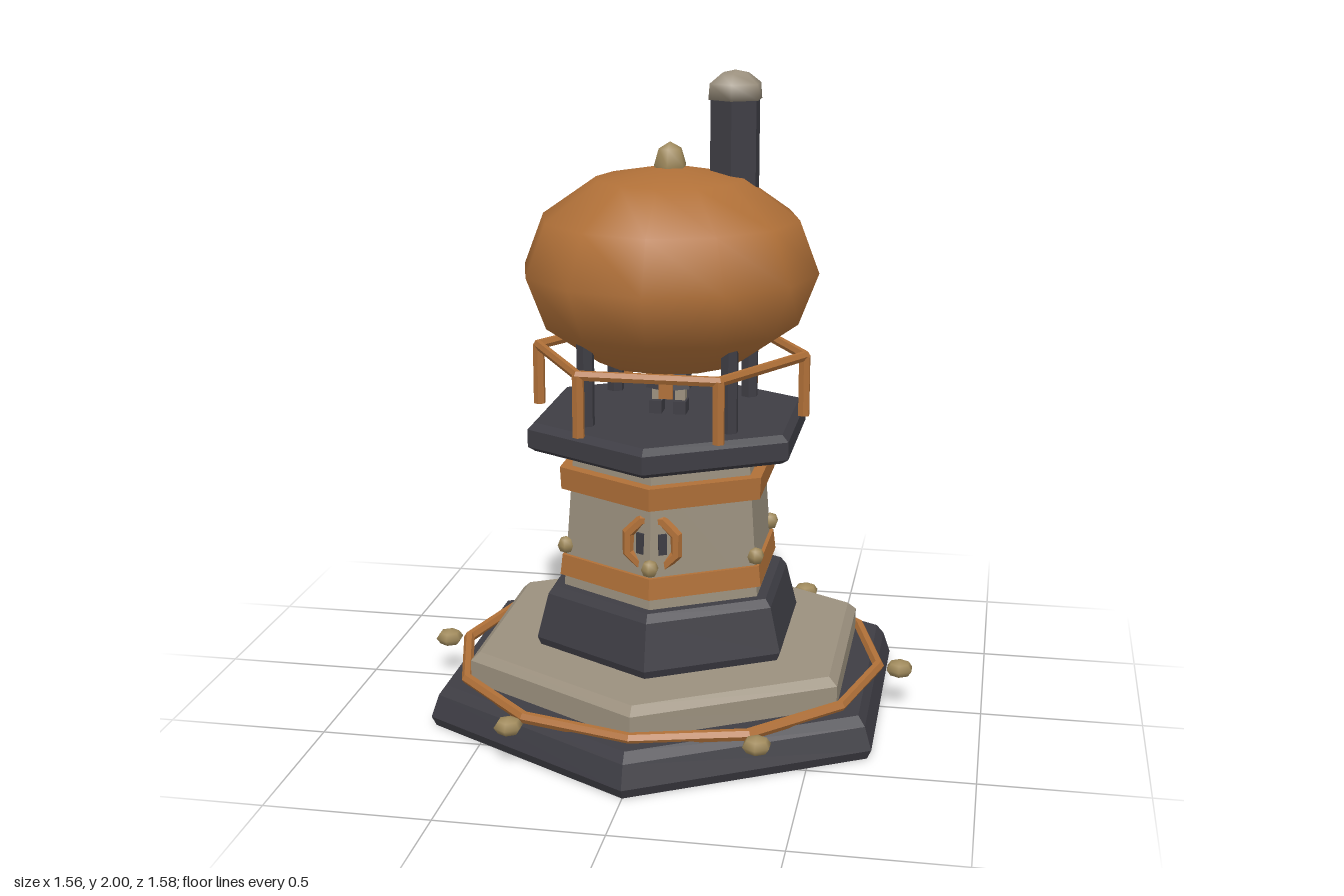
import * as THREE from 'three';

const mat = (name, color) => {
  const m = new THREE.MeshStandardMaterial({ color });
  m.name = name;
  return m;
};

export function createModel() {
  const iron = mat('dark iron', 0x3e3d44);
  const copper = mat('copper', 0xb07038);
  const stone = mat('warm stone', 0x9b907e);
  const brass = mat('brass', 0xa08a5c);
  const model = new THREE.Group();

  const add = (name, geo, material, x = 0, y = 0, z = 0, parent = model) => {
    const mesh = new THREE.Mesh(geo, material);
    mesh.name = name;
    mesh.position.set(x, y, z);
    parent.add(mesh);
    return mesh;
  };
  // Faceted copy of a geometry
  const flat = (geo) => {
    const g = geo.index ? geo.toNonIndexed() : geo;
    g.computeVertexNormals();
    return g;
  };
  // Six-sided turned solid from [radius, height] pairs, corners towards +z and -z
  const hex = (pts) => flat(new THREE.LatheGeometry(pts.map(([r, y]) => new THREE.Vector2(r, y)), 6));
  const ring = (r, tube, sides) => flat(new THREE.TorusGeometry(r, tube, 6, sides).rotateX(Math.PI / 2));
  const ball = (r, sy) => new THREE.SphereGeometry(r, 6, 4).rotateY(Math.PI / 6).scale(1, sy, 1);
  const six = (r, fn, offset = 0) => {
    for (let i = 0; i < 6; i++) {
      const a = (i * Math.PI) / 3 + offset;
      fn(Math.cos(a) * r, Math.sin(a) * r);
    }
  };

  // Stepped base
  add('base', hex([[0, 0], [0.775, 0], [0.79, 0.03], [0.765, 0.1], [0.74, 0.13], [0, 0.13]]), iron);
  add('baseStep', hex([[0, 0.12], [0.66, 0.12], [0.66, 0.2], [0.63, 0.225], [0, 0.225]]), stone);
  add('baseRing', ring(0.673, 0.018, 12), copper, 0, 0.14, 0);
  six(0.74, (x, z) => add('baseBolt', ball(0.045, 0.6), brass, x, 0.135, z));

  // Tower
  add('plinth', hex([[0, 0.22], [0.43, 0.22], [0.443, 0.25], [0.405, 0.39], [0.385, 0.415], [0, 0.415]]), iron);
  add('tower', hex([[0, 0.41], [0.352, 0.41], [0.318, 0.84], [0.3, 0.865], [0, 0.865]]), stone);
  add('lowerBand', hex([[0.3, 0.45], [0.365, 0.45], [0.357, 0.515], [0.3, 0.515]]), copper);
  add('upperBand', hex([[0.3, 0.73], [0.358, 0.73], [0.362, 0.8], [0.3, 0.8]]), copper);
  six(0.345, (x, z) => add('towerRivet', ball(0.028, 1), brass, x, 0.545, z), Math.PI / 6);

  // Round window frame, partly sunk into the front corner
  const frame = flat(new THREE.TorusGeometry(0.08, 0.019, 6, 8).rotateZ(Math.PI / 8));
  add('windowFrame', frame, copper, 0, 0.612, 0.302);
  for (const s of [-1, 1]) {
    const pane = add('windowPane', new THREE.BoxGeometry(0.026, 0.065, 0.008), iron, s * 0.034, 0.615, 0.318);
    pane.rotation.y = s * Math.PI / 6;
  }

  // Deck and railing
  add('deck', hex([[0, 0.86], [0.44, 0.86], [0.463, 0.875], [0.463, 0.93], [0.44, 0.95], [0, 0.95]]), iron);
  add('handrail', ring(0.422, 0.016, 6), copper, 0, 1.142, 0);
  const railPost = flat(new THREE.CylinderGeometry(0.019, 0.019, 0.19, 6));
  six(0.42, (x, z) => add('railPost', railPost, copper, x, 1.048, z));

  // Tank on four legs
  const leg = flat(new THREE.CylinderGeometry(0.028, 0.028, 0.28, 6));
  for (const x of [-0.22, 0.22]) for (const z of [-0.22, 0.22]) add('tankLeg', leg, iron, x, 1.07, z);
  add('tank', new THREE.SphereGeometry(0.46, 12, 6).scale(1, 0.7, 1), copper, 0, 1.4, 0);
  add('finial', ball(0.052, 1.35), brass, 0, 1.72, 0);

  // Chimney
  const chimney = new THREE.Group();
  chimney.name = 'chimney';
  chimney.position.set(0.185, 0, -0.09);
  model.add(chimney);
  add('chimneyPipe', hex([[0, 1.55], [0.081, 1.55], [0.081, 1.92], [0, 1.92]]), iron, 0, 0, 0, chimney);
  const cap = [[0, 1.905], [0.088, 1.912], [0.084, 1.96], [0.045, 1.99], [0, 2]];
  add('chimneyCap', new THREE.LatheGeometry(cap.map(([r, y]) => new THREE.Vector2(r, y)), 6),
    stone, 0, 0, 0, chimney);

  // Small keeper under the tank: boots, legs, coat and copper front
  const keeper = new THREE.Group();
  keeper.name = 'keeper';
  model.add(keeper);
  for (const s of [-1, 1]) {
    add('boot', new THREE.BoxGeometry(0.04, 0.04, 0.06), iron, s * 0.038, 0.97, 0.02, keeper);
    add('trouserLeg', new THREE.BoxGeometry(0.032, 0.06, 0.035), stone, s * 0.036, 1.015, 0.01, keeper);
  }
  add('coat', hex([[0, 1.03], [0.08, 1.03], [0.05, 1.12], [0, 1.12]]), iron, 0, 0, 0, keeper);
  add('coatFront', new THREE.BoxGeometry(0.045, 0.09, 0.009), copper, 0, 1.05, 0.075, keeper);

  return model;
}
